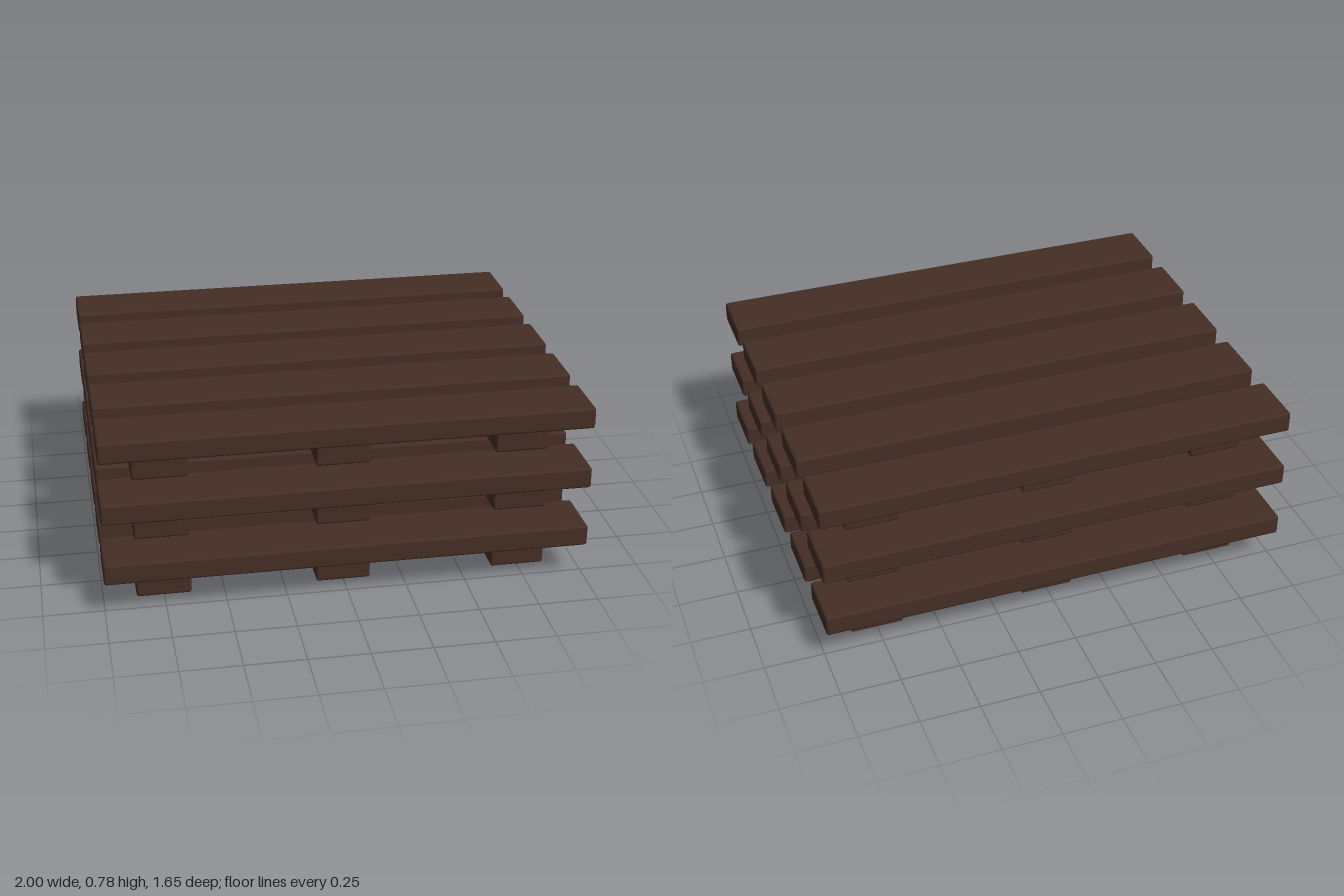
import * as THREE from 'three';
import { RoundedBoxGeometry } from 'three/addons/geometries/RoundedBoxGeometry.js';

export function createModel() {
  const group = new THREE.Group();
  group.name = 'palletStack';

  const darkWood = new THREE.MeshStandardMaterial({ color: 0x442e25 });
  darkWood.name = 'darkWood';

  // Shared timber shapes with slightly rounded edges
  const runnerGeometry = new RoundedBoxGeometry(0.228, 0.147, 1.33, 2, 0.011);
  const plankGeometry = new RoundedBoxGeometry(2, 0.09, 0.247, 2, 0.011);

  const addTimber = (parent, name, geometry, x, y, z) => {
    const mesh = new THREE.Mesh(geometry, darkWood);
    mesh.name = name;
    mesh.position.set(x, y, z);
    parent.add(mesh);
  };

  // Three identical pallets, one on top of the other
  for (let level = 0; level < 3; level++) {
    const pallet = new THREE.Group();
    pallet.name = `pallet${level + 1}`;
    pallet.position.y = level * 0.267;

    // Runners from front to back
    for (let i = -1; i <= 1; i++) {
      addTimber(pallet, `runner${i + 2}`, runnerGeometry, i * 0.75, 0.0765, 0);
    }
    // Deck planks from side to side
    for (let i = -2; i <= 2; i++) {
      addTimber(pallet, `plank${i + 3}`, plankGeometry, 0, 0.203, i * 0.35);
    }
    group.add(pallet);
  }
  return group;
}
